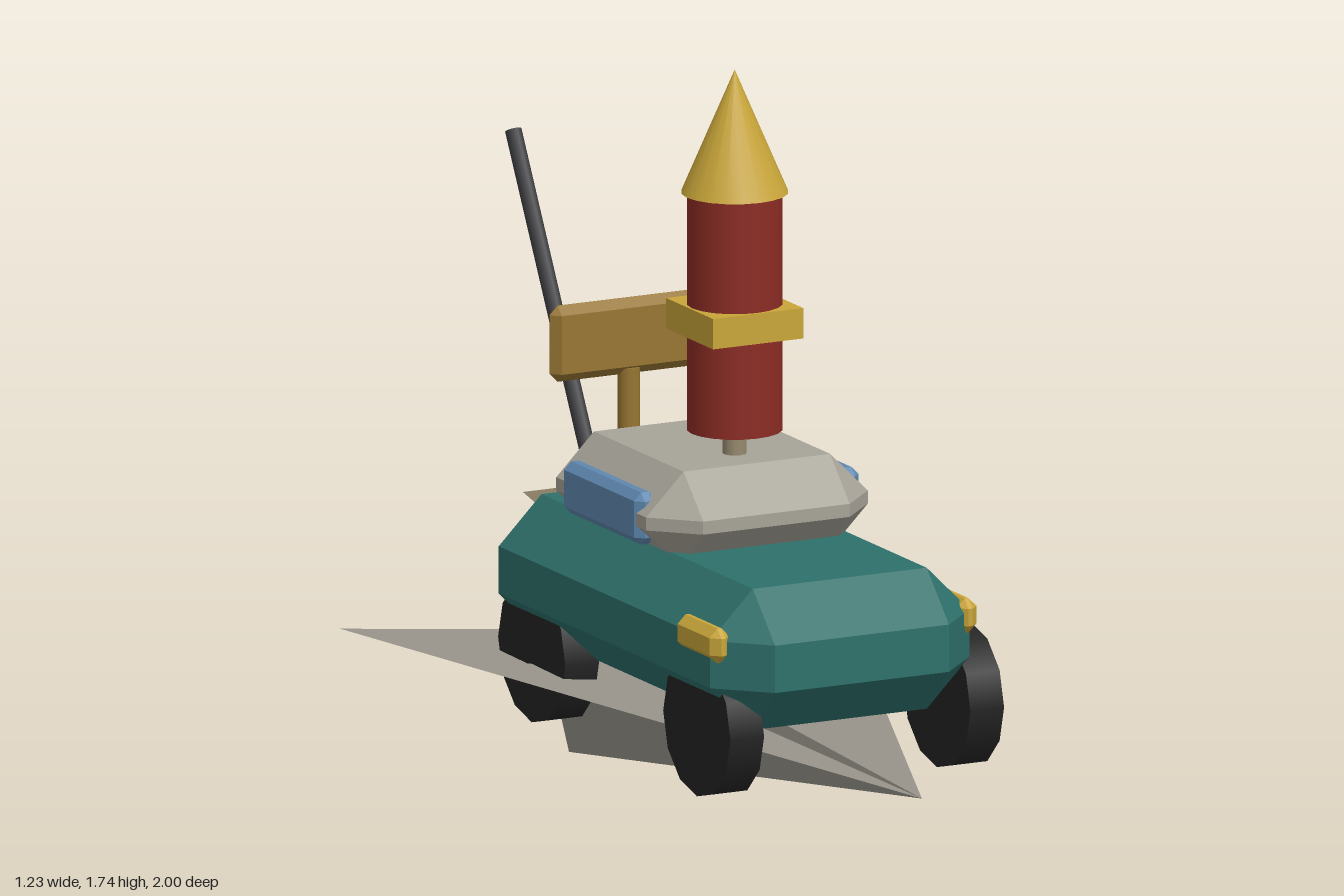
import * as THREE from 'three';
import { ConvexGeometry } from 'three/addons/geometries/ConvexGeometry.js';

const mat = (name, color, extra = {}) => {
  const m = new THREE.MeshStandardMaterial({ color, ...extra });
  m.name = name;
  return m;
};

// Box with every edge and corner cut flat by c
function chamferBox(w, h, d, c) {
  const half = [w / 2, h / 2, d / 2];
  const points = [];
  for (const sx of [-1, 1]) for (const sy of [-1, 1]) for (const sz of [-1, 1]) {
    for (let axis = 0; axis < 3; axis++) {
      const [x, y, z] = half.map((v, i) => (i === axis ? v : v - c));
      points.push(new THREE.Vector3(sx * x, sy * y, sz * z));
    }
  }
  return new ConvexGeometry(points);
}

function triangles(...corners) {
  const g = new THREE.BufferGeometry();
  g.setAttribute('position', new THREE.Float32BufferAttribute(corners.flat(), 3));
  g.computeVertexNormals();
  return g;
}

export function createModel() {
  const group = new THREE.Group();
  const teal = mat('tealPaint', 0x2e706b);
  const grey = mat('cabinGrey', 0xa7a398);
  const blue = mat('windowBlue', 0x5f88b0);
  const gold = mat('gold', 0xc9a63a);
  const brown = mat('signBrown', 0x987633);
  const red = mat('rocketRed', 0x8c2c24);
  const black = mat('tireBlack', 0x232323);
  const dark = mat('rodGrey', 0x3c3c40);
  const paper = mat('wingGrey', 0x98948a, { side: THREE.DoubleSide });
  const tan = mat('tan', 0x968a70, { side: THREE.DoubleSide });

  const add = (name, geometry, material, x = 0, y = 0, z = 0) => {
    const m = new THREE.Mesh(geometry, material);
    m.name = name;
    m.position.set(x, y, z);
    group.add(m);
    return m;
  };

  // Car body and cabin
  add('carBody', chamferBox(0.655, 0.325, 1.24, 0.108), teal, 0, 0.517, 0.09);
  add('cabin', chamferBox(0.56, 0.22, 0.625, 0.095), grey, 0, 0.75, -0.017);

  // Side windows and lamps
  for (const [side, s] of [['left', 1], ['right', -1]]) {
    add(side + 'Window', chamferBox(0.055, 0.12, 0.375, 0.018), blue, s * 0.256, 0.75, -0.02);
    add(side + 'Lamp', chamferBox(0.05, 0.08, 0.195, 0.02), gold, s * 0.312, 0.562, 0.54);
  }

  // Wheels, set off towards the left
  const wheel = new THREE.CylinderGeometry(0.163, 0.163, 0.085, 12).rotateZ(Math.PI / 2);
  for (const [end, z] of [['front', 0.49], ['rear', -0.31]]) {
    add(end + 'LeftWheel', wheel, black, 0.346, 0.35, z);
    add(end + 'RightWheel', wheel, black, -0.26, 0.35, z);
  }

  // Folded glider below: open V keel and two raked wings
  const nose = [0, 0.257, 1], keel = [0, 0.0, -0.71];
  for (const [side, s] of [['left', 1], ['right', -1]]) {
    const fold = [s * 0.07, 0.29, -0.71], tip = [s * 0.615, 0.367, -0.64];
    add(side + 'Keel', s > 0 ? triangles(nose, keel, fold) : triangles(nose, fold, keel), paper);
    add(side + 'Wing', s > 0 ? triangles(nose, fold, tip) : triangles(nose, tip, fold), paper);
  }

  // Small patch lying on the right wing
  const patchAt = (x, z) => [x, 0.257 + 0.0155 * (1 - z) + 0.134 * (-x) + 0.004, z];
  const a = patchAt(-0.4, -0.31), b = patchAt(-0.4, -0.09), c = patchAt(-0.2, -0.09), d = patchAt(-0.2, -0.31);
  add('wingPatch', triangles(a, b, c, a, c, d), paper);

  // Rocket on its pole
  const rz = 0.093;
  add('pole', new THREE.CylinderGeometry(0.027, 0.027, 0.8, 12), tan, 0, 0.585, rz);
  add('rocketTube', new THREE.CylinderGeometry(0.108, 0.108, 0.545, 20), red, 0, 1.188, rz);
  add('rocketNose', new THREE.ConeGeometry(0.121, 0.282, 20), gold, 0, 1.602, rz);
  add('rocketBand', new THREE.BoxGeometry(0.228, 0.07, 0.228), gold, 0, 1.17, rz);

  // Sign board and post
  add('signPost', new THREE.CylinderGeometry(0.025, 0.025, 0.3, 12), brown, 0, 0.8, -0.42);
  add('signBoard', chamferBox(0.4, 0.175, 0.042, 0.02), brown, 0, 1.022, -0.42);

  // Leaning rod at the back
  const foot = new THREE.Vector3(0, 0.55, -0.53), top = new THREE.Vector3(0, 1.375, -0.98);
  const lean = top.clone().sub(foot);
  const rod = add('rod', new THREE.CylinderGeometry(0.019, 0.019, lean.length(), 10), dark);
  rod.position.copy(foot).add(top).multiplyScalar(0.5);
  rod.quaternion.setFromUnitVectors(new THREE.Vector3(0, 1, 0), lean.normalize());

  // Flat ribbon with notched ends
  const ribbon = new THREE.Shape([[-0.2, -0.045], [0.2, -0.045], [0.15, 0], [0.2, 0.045], [-0.2, 0.045], [-0.15, 0]]
    .map(([x, y]) => new THREE.Vector2(x, y)));
  add('ribbon', new THREE.ShapeGeometry(ribbon), tan, 0, 0.61, -0.55);

  return group;
}
